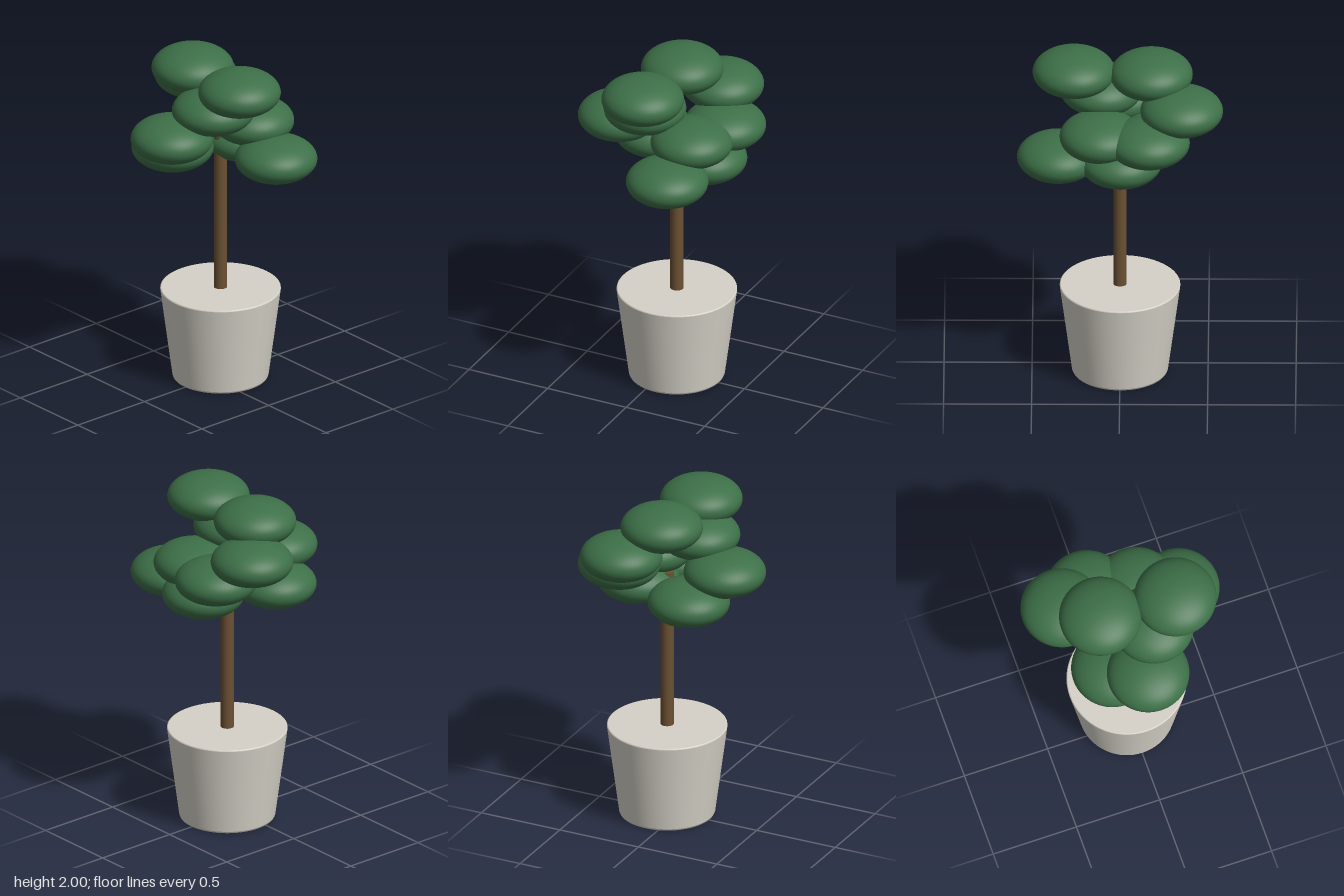
import * as THREE from 'three';

export function createModel() {
  const model = new THREE.Group();
  const mat = (name, color) => {
    const m = new THREE.MeshStandardMaterial({ color });
    m.name = name;
    return m;
  };
  const potMat = mat('stone', 0xd6d2c8);
  const trunkMat = mat('bark', 0x6b5033);
  const leafMat = mat('leaf green', 0x3d7048);

  const add = (name, geometry, material, x, y, z) => {
    const mesh = new THREE.Mesh(geometry, material);
    mesh.name = name;
    mesh.position.set(x, y, z);
    model.add(mesh);
    return mesh;
  };

  // The pot and trunk share an axis slightly off the crown's centre
  const axisX = 0.07;

  // Filled, tapered pot: smooth side wall, softly bevelled edges, flat ends
  const ring = (name, points) => add(name, new THREE.LatheGeometry(
    points.map(([r, y]) => new THREE.Vector2(r, y)), 64), potMat, axisX, 0, 0);
  ring('potBase', [[0, 0], [0.262, 0]]);
  ring('potBottomEdge', [[0.262, 0], [0.27, 0.004], [0.274, 0.014]]);
  ring('potWall', [[0.274, 0.014], [0.343, 0.542]]);
  ring('potTopEdge', [[0.343, 0.542], [0.342, 0.548], [0.337, 0.55]]);
  ring('potTop', [[0.337, 0.55], [0, 0.55]]);

  // Straight trunk rising into the crown
  add('trunk', new THREE.CylinderGeometry(0.038, 0.038, 0.97, 32), trunkMat, axisX, 1.025, 0);

  // Flattened foliage clumps on four levels: [x, y, z]
  const clumps = [
    [0.185, 1.433, 0.35], [-0.15, 1.433, -0.162], [0.253, 1.433, -0.005],
    [-0.296, 1.58, 0.002], [0.293, 1.58, -0.163], [0.22, 1.58, 0.108],
    [0.185, 1.727, -0.351], [-0.078, 1.727, 0.108],
    [0.015, 1.873, -0.178], [-0.014, 1.873, 0.263],
  ];
  const leafGeo = new THREE.SphereGeometry(0.235, 48, 32);
  leafGeo.scale(1, 0.54, 1);
  clumps.forEach(([x, y, z], i) => add('foliage' + (i + 1), leafGeo, leafMat, x, y, z));

  return model;
}
